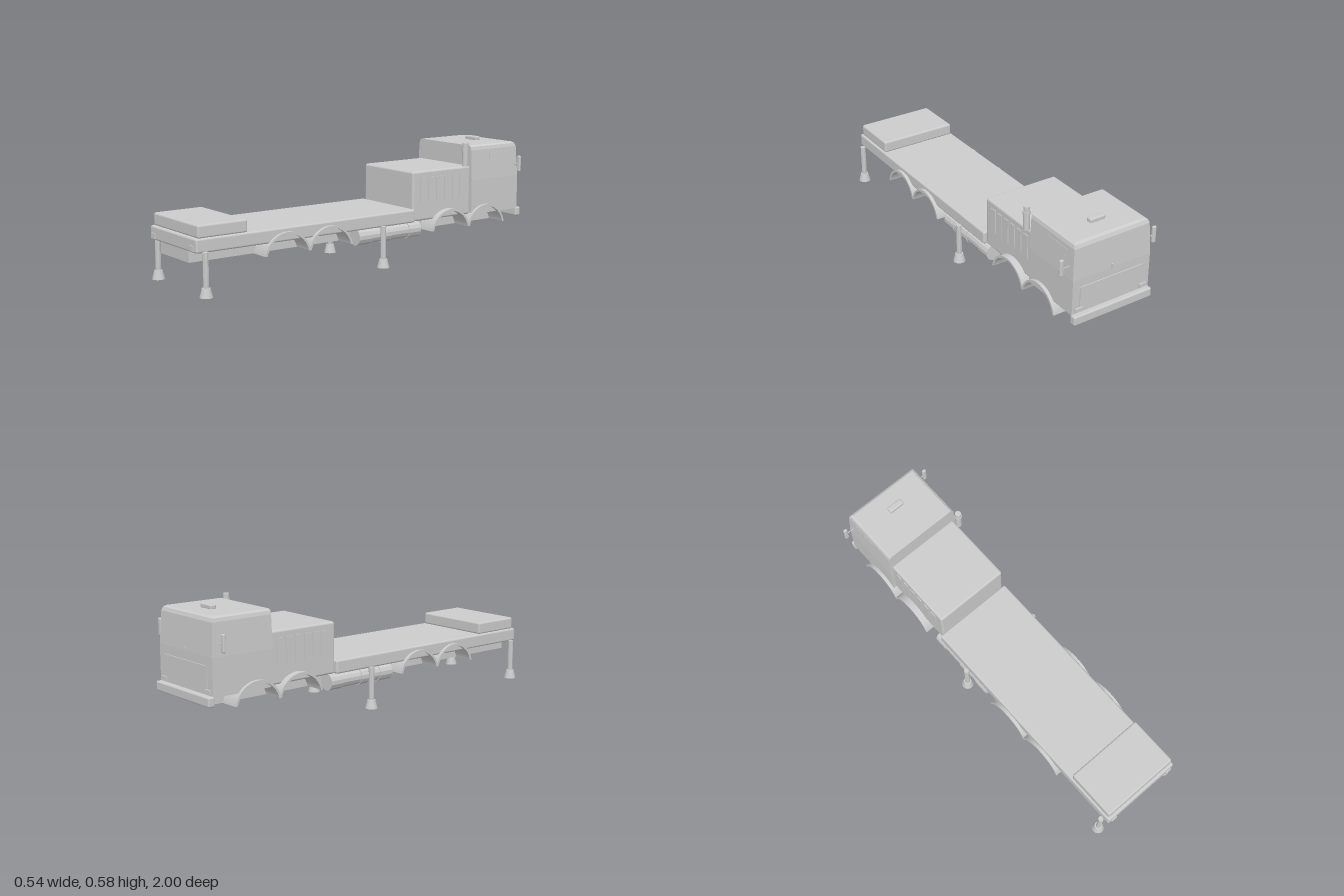
import * as THREE from 'three';
import { RoundedBoxGeometry } from 'three/addons/geometries/RoundedBoxGeometry.js';

const smooth = new THREE.MeshStandardMaterial({ color: 0xcccccc });
const flat = new THREE.MeshStandardMaterial({ color: 0xcccccc, flatShading: true });

// Stack of rectangles [y, halfWidth, zMin, zMax], closed at both ends.
function loft(sections) {
  const pos = [], idx = [];
  for (const [y, w, z0, z1] of sections) pos.push(-w, y, z0, w, y, z0, w, y, z1, -w, y, z1);
  const n = sections.length;
  for (let s = 0; s < n - 1; s++) {
    for (let i = 0; i < 4; i++) {
      const a = s * 4 + i, b = s * 4 + (i + 1) % 4;
      idx.push(a, b + 4, b, a, a + 4, b + 4);
    }
  }
  const t = (n - 1) * 4;
  idx.push(0, 1, 2, 0, 2, 3, t, t + 2, t + 1, t, t + 3, t + 2);
  const g = new THREE.BufferGeometry();
  g.setAttribute('position', new THREE.Float32BufferAttribute(pos, 3));
  g.setIndex(idx);
  const out = g.toNonIndexed();
  out.computeVertexNormals();
  return out;
}

// Thin wheel-arch shell with its width along x, centred on x = 0.
function archGeometry(width) {
  const a = 0.21, r = 0.13, ri = 0.119;
  const shape = new THREE.Shape();
  shape.absarc(0, 0, r, a, Math.PI - a, false);
  shape.absarc(0, 0, ri, Math.PI - a - 0.03, a + 0.03, true);
  const g = new THREE.ExtrudeGeometry(shape, { depth: width, bevelEnabled: false, curveSegments: 14 });
  return g.translate(0, 0, -width / 2).rotateY(Math.PI / 2);
}

export function createModel() {
  const model = new THREE.Group();
  const add = (name, geometry, x = 0, y = 0, z = 0, material = smooth) => {
    const mesh = new THREE.Mesh(geometry, material);
    mesh.name = name;
    mesh.position.set(x, y, z);
    model.add(mesh);
    return mesh;
  };
  // Boxes given by their limits; r rounds the edges.
  const box = (name, x0, x1, y0, y1, z0, z1, r = 0) => {
    const s = [x1 - x0, y1 - y0, z1 - z0];
    const g = r ? new RoundedBoxGeometry(...s, 3, r) : new THREE.BoxGeometry(...s);
    return add(name, g, (x0 + x1) / 2, (y0 + y1) / 2, (z0 + z1) / 2);
  };
  const cylinder = (name, rTop, rBottom, x, y0, y1, z, sides = 16, material = smooth) =>
    add(name, new THREE.CylinderGeometry(rTop, rBottom, y1 - y0, sides), x, (y0 + y1) / 2, z, material);

  // Frame, load deck, rear locker and engine housing
  box('chassis', -0.13, 0.13, 0.145, 0.202, -0.93, 0.985);
  box('deck', -0.215, 0.215, 0.2, 0.267, -0.265, 0.994, 0.01);
  box('rearLocker', -0.207, 0.207, 0.265, 0.327, 0.72, 0.98, 0.01);
  box('engineHousing', -0.198, 0.198, 0.2, 0.455, -0.65, -0.262, 0.012);

  // Cab with its tapered sides and chamfered roof
  add('cab', loft([
    [0.2, 0.215, -0.974, -0.645],
    [0.38, 0.215, -0.974, -0.645],
    [0.535, 0.207, -0.966, -0.645],
    [0.552, 0.202, -0.959, -0.645],
    [0.56, 0.19, -0.947, -0.645],
  ]), 0, 0, 0, flat);
  add('sideWindows', loft([
    [0.39, 0.2155, -0.91, -0.775],
    [0.515, 0.2092, -0.91, -0.775],
  ]), 0, 0, 0, flat);
  box('frontPanel', -0.175, 0.175, 0.237, 0.338, -0.979, -0.96);
  box('wiperMount', -0.004, 0.004, 0.375, 0.4, -0.979, -0.96);
  box('bumper', -0.218, 0.218, 0.158, 0.205, -1, -0.965, 0.008);
  box('roofBeacon', -0.042, 0.042, 0.556, 0.58, -0.861, -0.829, 0.007);

  // Exhaust stack
  cylinder('exhaustSilencer', 0.0155, 0.0155, 0.205, 0.457, 0.577, -0.605);
  cylinder('exhaustCollar', 0.0185, 0.0185, 0.205, 0.535, 0.55, -0.605);

  const arch = archGeometry(0.104);
  for (const s of [-1, 1]) {
    // Cooling slats
    for (let i = 0; i < 6; i++) {
      const slat = box('coolingSlat', -0.003, 0.003, 0.295, 0.42, -0.017, 0.017);
      slat.position.x = s * 0.199;
      slat.position.z = -0.328 - i * 0.053;
    }

    // Mirrors
    const mirror = box('mirror', -0.0105, 0.0105, 0.405, 0.49, -0.95, -0.935, 0.006);
    mirror.position.x = s * 0.257;
    const arm = add('mirrorArm', new THREE.CylinderGeometry(0.0025, 0.0025, 0.05, 8), s * 0.228, 0.443, -0.943);
    arm.rotation.z = Math.PI / 2;

    // Lamps
    const tail = box('tailLamp', -0.017, 0.017, 0.208, 0.233, 0.98, 1);
    tail.position.x = s * 0.18;
    const head = box('headLamp', -0.02, 0.02, 0.212, 0.232, -0.982, -0.96);
    head.position.x = s * 0.18;

    // Wheel arches
    for (const z of [0.515, 0.268, -0.492, -0.738]) add('wheelArch', arch, s * 0.18, 0.117, z);

    // Side tanks with collars
    const tank = (name, r, z0, z1) => {
      const m = add(name, new THREE.CylinderGeometry(r, r, z1 - z0, 14), s * 0.178, 0.162, (z0 + z1) / 2, flat);
      m.rotation.x = Math.PI / 2;
    };
    tank('sideTank', 0.039, -0.298, 0.088);
    for (const [z0, z1] of [[0.01, 0.09], [-0.11, -0.06], [-0.3, -0.225]]) tank('tankCollar', 0.043, z0, z1);

    // Support legs
    for (const z of [0.953, -0.053]) {
      cylinder('supportLeg', 0.0138, 0.0138, s * 0.224, 0.04, 0.206, z, 8, flat);
      cylinder('supportFoot', 0.02, 0.031, s * 0.224, 0, 0.043, z);
    }
  }
  return model;
}
